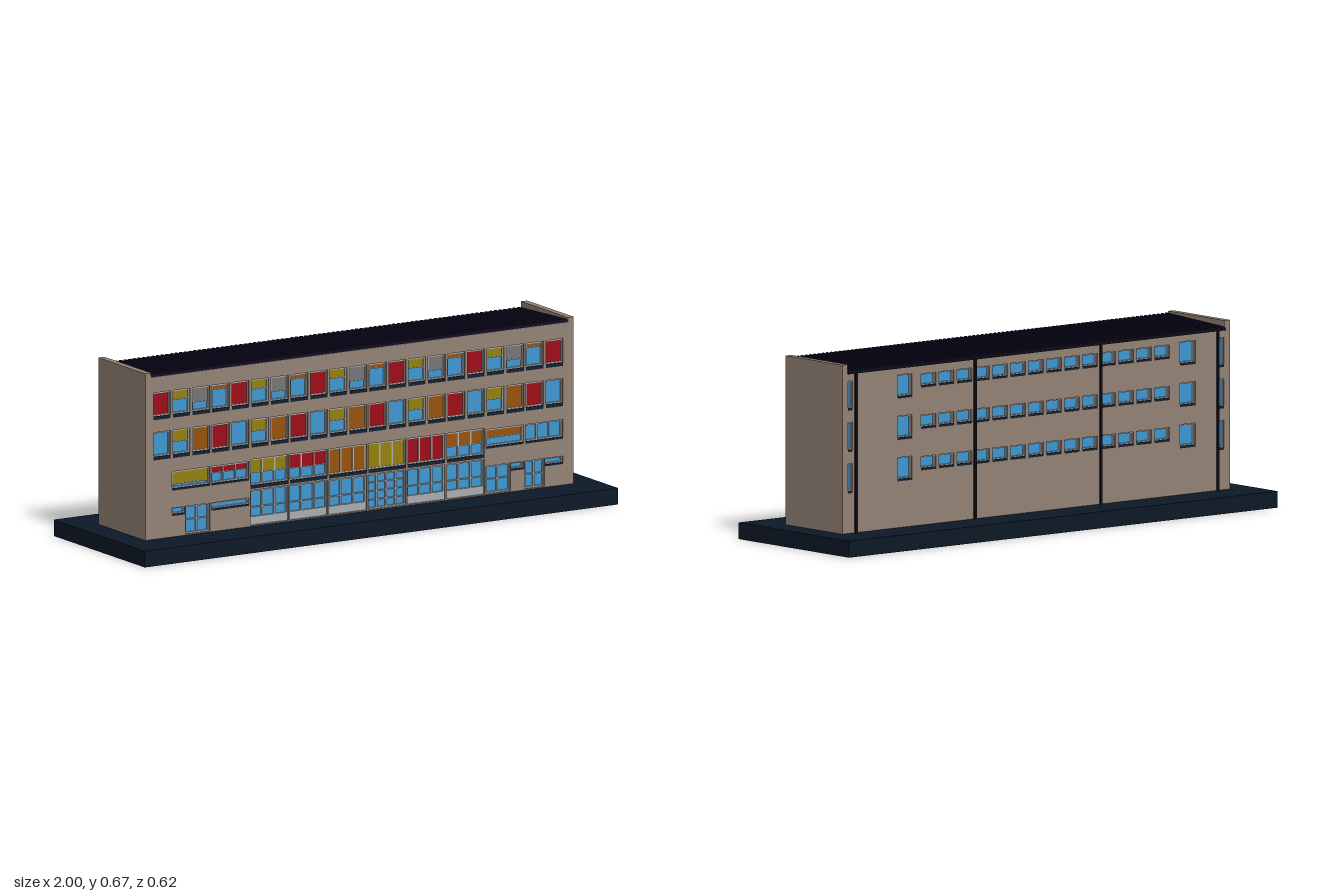
import * as THREE from 'three';
import { mergeGeometries } from 'three/addons/utils/BufferGeometryUtils.js';

const COLORS = {
  wall: 0x938275, base: 0x0c1826, roof: 0x15102a, glass: 0x3f97d2, frame: 0xa9adb0, sill: 0x14202e,
  red: 0x9c0c18, olive: 0x94800c, orange: 0x96520c, grey: 0x757575, pipe: 0x0e0c16,
};
const GROUND = 0.06, HALF = 0.905, INNER = 0.88, FRONT = 0.16, BACK = -0.158;
const mat = (c) => new THREE.MeshStandardMaterial({ color: COLORS[c], flatShading: true });

function mesh(name, geometry, color) {
  const m = new THREE.Mesh(geometry, mat(color));
  m.name = name;
  return m;
}

// Box given by its limits on each axis
function box(x0, x1, y0, y1, z0, z1) {
  return new THREE.BoxGeometry(x1 - x0, y1 - y0, z1 - z0)
    .translate((x0 + x1) / 2, (y0 + y1) / 2, (z0 + z1) / 2);
}

// A facade lies in local z <= 0, with its outer face on z = 0
function facade(name, height, windows) {
  const group = new THREE.Group();
  group.name = name;
  const rect = (P, x0, x1, y0, y1) => {
    const p = new P();
    p.moveTo(x0, y0); p.lineTo(x1, y0); p.lineTo(x1, y1); p.lineTo(x0, y1); p.closePath();
    return p;
  };
  const shape = rect(THREE.Shape, -INNER, INNER, GROUND, height);
  const parts = {};
  const add = (color, ...limits) => (parts[color] ??= []).push(box(...limits));

  for (const w of windows) {
    const { x0, x1, y0, y1, cols = 1, rows = 1, blind, cover = 0, sill = 0, panel = 0 } = w;
    const t = w.frame ?? 0.005;
    shape.holes.push(rect(THREE.Path, x0, x1, y0, y1));
    const bottom = y0 + sill;
    add('glass', x0, x1, y0, y1, -0.028, -0.014);
    if (sill) add('sill', x0, x1, y0, bottom, -0.014, -0.001);
    // Outer frame
    add('frame', x0, x0 + t, bottom, y1, -0.014, -0.006);
    add('frame', x1 - t, x1, bottom, y1, -0.014, -0.006);
    add('frame', x0 + t, x1 - t, y1 - t, y1, -0.014, -0.006);
    add('frame', x0 + t, x1 - t, bottom, bottom + t + panel, -0.014, -0.006);
    // Mullions and transoms
    for (let i = 1; i < cols; i++) {
      const x = x0 + (x1 - x0) * i / cols;
      add('frame', x - 0.003, x + 0.003, bottom, y1 - t, -0.014, -0.007);
    }
    for (let j = 1; j < rows; j++) {
      const y = bottom + (y1 - bottom) * j / rows;
      add('frame', x0 + t, x1 - t, y - 0.002, y + 0.002, -0.014, -0.0075);
    }
    // Coloured blind hanging from the top
    if (blind) {
      const drop = (y1 - bottom - 2 * t) * cover;
      add(blind, x0 + t, x1 - t, y1 - t - drop, y1 - t, -0.014, -0.009);
      if (cover < 1) add('frame', x0 + t, x1 - t, y1 - t - drop - 0.003, y1 - t - drop, -0.014, -0.008);
    }
  }

  const wall = new THREE.ExtrudeGeometry(shape, { depth: 0.03, bevelEnabled: false }).translate(0, 0, -0.03);
  group.add(mesh(name + 'Wall', wall, 'wall'));
  const names = { glass: 'windowGlass', frame: 'windowFrames', sill: 'windowSills' };
  for (const color in parts) {
    group.add(mesh(names[color] ?? color + 'Blinds', mergeGeometries(parts[color]), color));
  }
  return group;
}

function frontWindows() {
  const list = [];
  // Two upper floors, 21 windows each, with blinds repeating every four
  const top = [['red', 1], ['olive', 0.38], ['grey', 0.62], ['orange', 0.16]];
  const second = [[null, 0], ['olive', 0.48], ['orange', 1], ['red', 1]];
  for (const [y0, y1, pattern] of [[0.498, 0.598, top], [0.35, 0.452, second]]) {
    for (let i = 0; i < 21; i++) {
      const x0 = -0.871 + i * 0.0829, [blind, cover] = pattern[i % 4];
      list.push({ x0, x1: x0 + 0.073, y0, y1, sill: 0.012, blind, cover });
    }
  }
  // First floor and ground floor, ten bays
  const bays = [['olive', 0.8], ['red', 0.38], ['olive', 0.52], ['red', 0.55], ['orange', 1],
    ['olive', 1], ['red', 1], ['orange', 0.55], ['orange', 0.5], [null, 0]];
  bays.forEach(([blind, cover], i) => {
    const x0 = -0.791 + i * 0.1657, x1 = x0 + 0.159;
    const tall = i >= 2 && i <= 7;
    list.push({ x0, x1, y0: tall ? 0.198 : 0.23, y1: tall ? 0.306 : 0.3, cols: tall ? 3 : (i % 8 ? 3 : 1),
      sill: tall ? 0.012 : 0.007, blind, cover });
    if (tall) {
      const entrance = i === 5;
      list.push({ x0, x1, y0: 0.064, y1: 0.192, cols: entrance ? 4 : 3, rows: entrance ? 4 : 2,
        panel: entrance ? 0 : 0.025 });
    }
  });
  // Ground floor doors and high strip windows on the outer bays
  const strip = (x0, x1) => list.push({ x0, x1, y0: 0.137, y1: 0.166, sill: 0.006, frame: 0.004 });
  const door = (x0, x1) => list.push({ x0, x1, y0: 0.064, y1: 0.166, cols: 2, rows: 2 });
  strip(-0.791, -0.737); door(-0.735, -0.632);
  strip(-0.625, -0.466);
  door(0.535, 0.638); strip(0.64, 0.694);
  door(0.7, 0.782); strip(0.784, 0.86);
  return list;
}

// The back is turned round, so its local x is mirrored
function backWindows() {
  const list = [];
  const add = (a, b, y0, y1, extra) => list.push({ x0: -b, x1: -a, y0, y1, sill: 0.008, frame: 0.004, ...extra });
  for (let floor = 0; floor < 3; floor++) {
    const y = floor * 0.15;
    for (const s of [-1, 1]) add(s * 0.8675 - 0.0105, s * 0.8675 + 0.0105, 0.205 + y, 0.312 + y);
    add(0.58, 0.648, 0.228 + y, 0.314 + y);
    add(-0.744, -0.672, 0.228 + y, 0.314 + y);
    for (let i = 0; i < 14; i++) {
      const x1 = 0.538 - i * 0.0838;
      add(x1 - 0.07, x1, 0.258 + y, 0.308 + y);
    }
  }
  return list;
}

// Corrugated sheet falling gently towards the back
function roofGeometry() {
  const waves = 90, step = 2 * INNER / waves, shape = new THREE.Shape();
  shape.moveTo(-INNER, 0);
  shape.lineTo(INNER, 0);
  for (let i = waves - 1; i >= 0; i--) {
    const x = -INNER + i * step;
    shape.lineTo(x + step * 0.99, 0.007);
    shape.lineTo(x + step * 0.75, 0.013);
    shape.lineTo(x + step * 0.35, 0.013);
    shape.lineTo(x + step * 0.1, 0.007);
  }
  shape.closePath();
  const g = new THREE.ExtrudeGeometry(shape, { depth: 0.322, bevelEnabled: false }).translate(0, 0, -0.164);
  const p = g.attributes.position;
  for (let i = 0; i < p.count; i++) p.setY(i, p.getY(i) + 0.655 + (p.getZ(i) - 0.158) * 0.05);
  g.computeVertexNormals();
  return g;
}

export function createModel() {
  const model = new THREE.Group();
  model.name = 'officeBlock';
  model.add(mesh('base', box(-1, 1, 0, GROUND, -0.31, 0.31), 'base'));

  // End walls rising above the roof
  for (const [name, s] of [['leftEndWall', 1], ['rightEndWall', -1]]) {
    const g = box(-0.0125, 0.0125, GROUND, 0.673, BACK, FRONT).translate(s * (INNER + HALF) / 2, 0, 0);
    model.add(mesh(name, g, 'wall'));
  }

  const front = facade('front', 0.656, frontWindows());
  front.position.z = FRONT;
  const back = facade('back', 0.64, backWindows());
  back.position.z = BACK;
  back.rotation.y = Math.PI;
  model.add(front, back, mesh('roof', roofGeometry(), 'roof'));

  // Gutter and downpipes along the back
  const gutter = new THREE.Group();
  gutter.name = 'rainwaterPipes';
  gutter.add(mesh('gutter', box(-INNER, INNER, 0.638, 0.648, -0.165, BACK), 'pipe'));
  for (const x of [-0.846, -0.3, 0.287, 0.843]) {
    gutter.add(mesh('downpipe', box(x - 0.005, x + 0.005, GROUND, 0.64, -0.165, BACK), 'pipe'));
  }
  model.add(gutter);
  return model;
}
